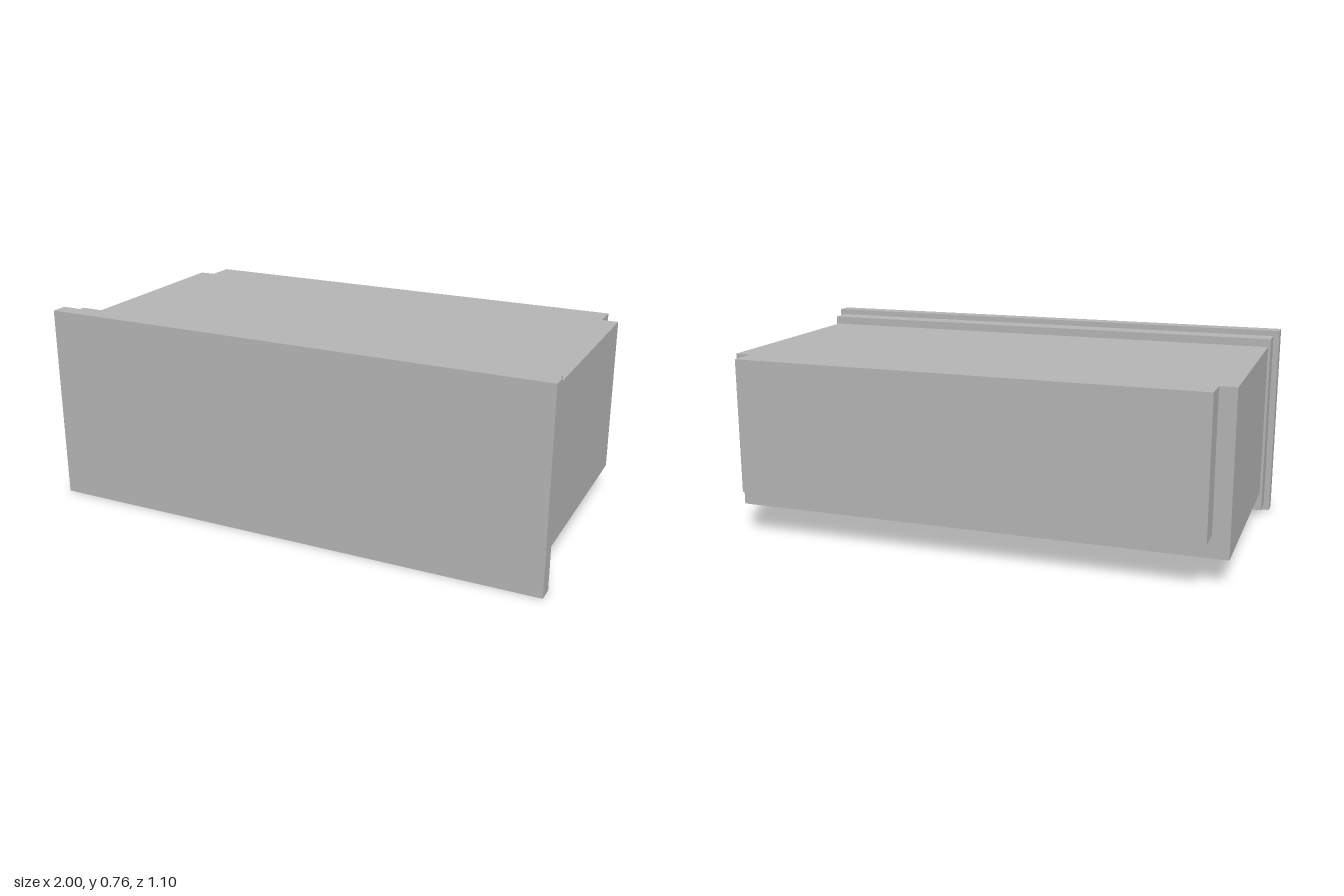
import * as THREE from 'three';

export function createModel() {
  const group = new THREE.Group();
  const grey = new THREE.MeshStandardMaterial({ color: 0xb3b3b3 });
  grey.name = 'light grey';

  // Box centred on x, given by its half width and its y and z ranges
  function slab(name, halfWidth, y0, y1, z0, z1) {
    const mesh = new THREE.Mesh(new THREE.BoxGeometry(halfWidth * 2, y1 - y0, z1 - z0), grey);
    mesh.name = name;
    mesh.position.set(0, (y0 + y1) / 2, (z0 + z1) / 2);
    group.add(mesh);
  }

  slab('frontPanel', 1, 0, 0.765, 0.487, 0.55);
  slab('frontCollar', 0.977, 0.023, 0.743, 0.4, 0.487);
  slab('mainHousing', 0.967, 0.1, 0.711, -0.442, 0.4);
  // Rear block is narrower and raised, but flush with the housing top
  slab('rearBlock', 0.903, 0.186, 0.711, -0.55, -0.442);

  return group;
}
